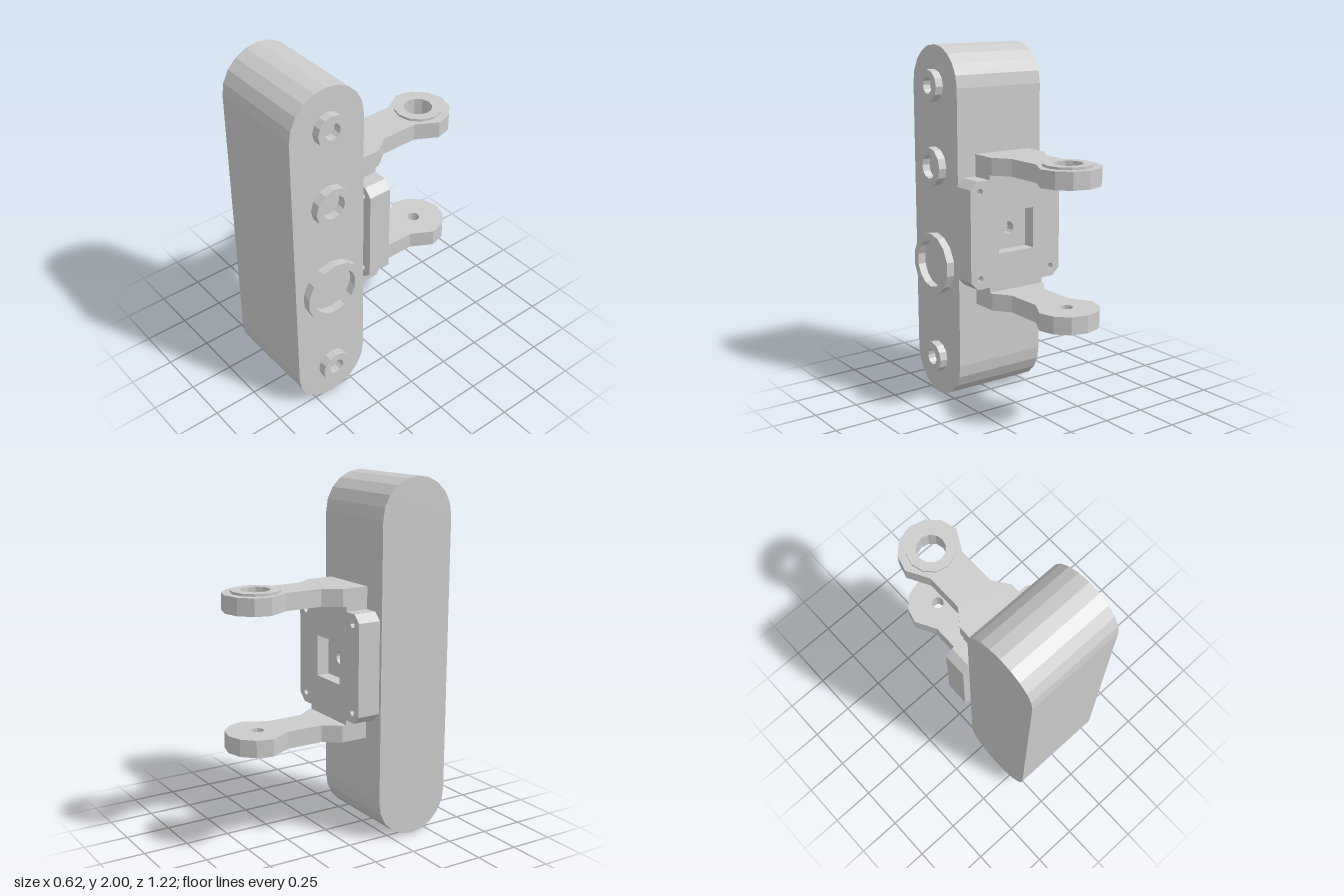
import * as THREE from 'three';

const CX = -0.012;      // centre line of bracket
const PIVOT_Z = -0.435; // axis of the two arm eyes
const material = new THREE.MeshStandardMaterial({ color: 0xcccccc, flatShading: true });

// Regular polygon points, first corner at the given angle
function ngon(x, y, r, n, start = Math.PI / 2) {
  return Array.from({ length: n }, (_, i) => {
    const a = start + (i / n) * Math.PI * 2;
    return new THREE.Vector2(x + r * Math.cos(a), y + r * Math.sin(a));
  });
}

// Straight extrusion of an outline with holes, running from `from` to `to`
function prism(outline, holes, from, to) {
  const shape = new THREE.Shape(outline);
  shape.holes = holes.map((h) => new THREE.Path(h));
  const geo = new THREE.ExtrudeGeometry(shape, { depth: to - from, bevelEnabled: false });
  return geo.translate(0, 0, from);
}

const alongX = (geo) => geo.rotateY(Math.PI / 2);  // outline is (-z, y)
const alongY = (geo) => geo.rotateX(-Math.PI / 2); // outline is (x, -z)
const points = (list) => list.map(([x, y]) => new THREE.Vector2(x, y));

export function createModel() {
  const model = new THREE.Group();
  const add = (name, geo, parent = model) => {
    const mesh = new THREE.Mesh(geo, material);
    mesh.name = name;
    parent.add(mesh);
    return mesh;
  };

  // Long body with rounded ends
  const R = 0.222, BZ = 0.39;
  const bodyOutline = [];
  for (const [cy, start] of [[2 - R, 0], [R, Math.PI]]) {
    for (let i = 0; i <= 10; i++) {
      const a = start + (i / 10) * Math.PI;
      bodyOutline.push(new THREE.Vector2(-BZ + R * Math.cos(a), cy + R * Math.sin(a)));
    }
  }
  add('body', alongX(prism(bodyOutline, [], -0.29, 0.262)));

  // Raised rings down the left side
  const rings = new THREE.Group();
  rings.name = 'sideRings';
  model.add(rings);
  for (const [y, outer, inner, n] of [
    [1.78, 0.088, 0.045, 12],
    [1.335, 0.109, 0.067, 12],
    [0.78, 0.176, 0.134, 14],
    [0.225, 0.088, 0.045, 12],
  ]) {
    add('sideRing', alongX(prism(ngon(-BZ, y, outer, n), [ngon(-BZ, y, inner, n)], 0.26, 0.308)), rings);
  }

  // Bracket: spacer, then a chamfered plate with a square pocket and screw holes
  const bracket = new THREE.Group();
  bracket.name = 'bracket';
  model.add(bracket);
  const PY = 1.003, H = 0.298, C = 0.043;
  const spacer = new THREE.BoxGeometry(0.444, 0.444, 0.03);
  add('spacer', spacer.translate(CX, PY, 0.155), bracket);

  const plateOutline = points([
    [H, H - C], [H - C, H], [C - H, H], [-H, H - C],
    [-H, C - H], [C - H, -H], [H - C, -H], [H, C - H],
  ].map(([x, y]) => [CX + x, PY + y]));
  const screwHoles = [];
  for (const sx of [-1, 1]) {
    for (const sy of [-1, 1]) screwHoles.push(ngon(CX + sx * 0.237, PY + sy * 0.24, 0.019, 8));
  }
  const pocket = ngon(CX, PY, 0.115 * Math.SQRT2, 4, Math.PI / 4);
  add('pocketPlate', prism(plateOutline, [pocket, ...screwHoles], 0.01, 0.085), bracket);
  add('backingPlate', prism(plateOutline, [ngon(CX, PY, 0.035, 12), ...screwHoles], 0.085, 0.142), bracket);

  // Arms: wide root, narrow neck, faceted eye
  const half = [[0.177, -0.142], [0.177, 0.012], [0.11, 0.102], [0.11, 0.315],
    [0.177, 0.435], [0.153, 0.5235], [0.0885, 0.588]];
  const armOutline = points([
    ...half.map(([x, y]) => [CX + x, y]),
    [CX, 0.612],
    ...half.map(([x, y]) => [CX - x, y]).reverse(),
  ]);
  const eye = (r) => ngon(CX, -PIVOT_Z, r, 12);
  for (const [side, y0, y1, hole, bossR, b0, b1, webY] of [
    ['upper', 1.329, 1.424, 0.079, 0.132, 1.424, 1.437, 1.314],
    ['lower', 0.581, 0.676, 0.035, 0.087, 0.57, 0.581, 0.691],
  ]) {
    const arm = new THREE.Group();
    arm.name = side + 'Arm';
    bracket.add(arm);
    add(side + 'ArmBlade', alongY(prism(armOutline, [eye(hole)], y0, y1)), arm);
    add(side + 'ArmBoss', alongY(prism(eye(bossR), [eye(hole)], b0, b1)), arm);
    // Web joining the arm to the plate
    const web = new THREE.BoxGeometry(0.354, 0.034, 0.132);
    add(side + 'ArmWeb', web.translate(CX, webY, 0.076), arm);
  }

  return model;
}
